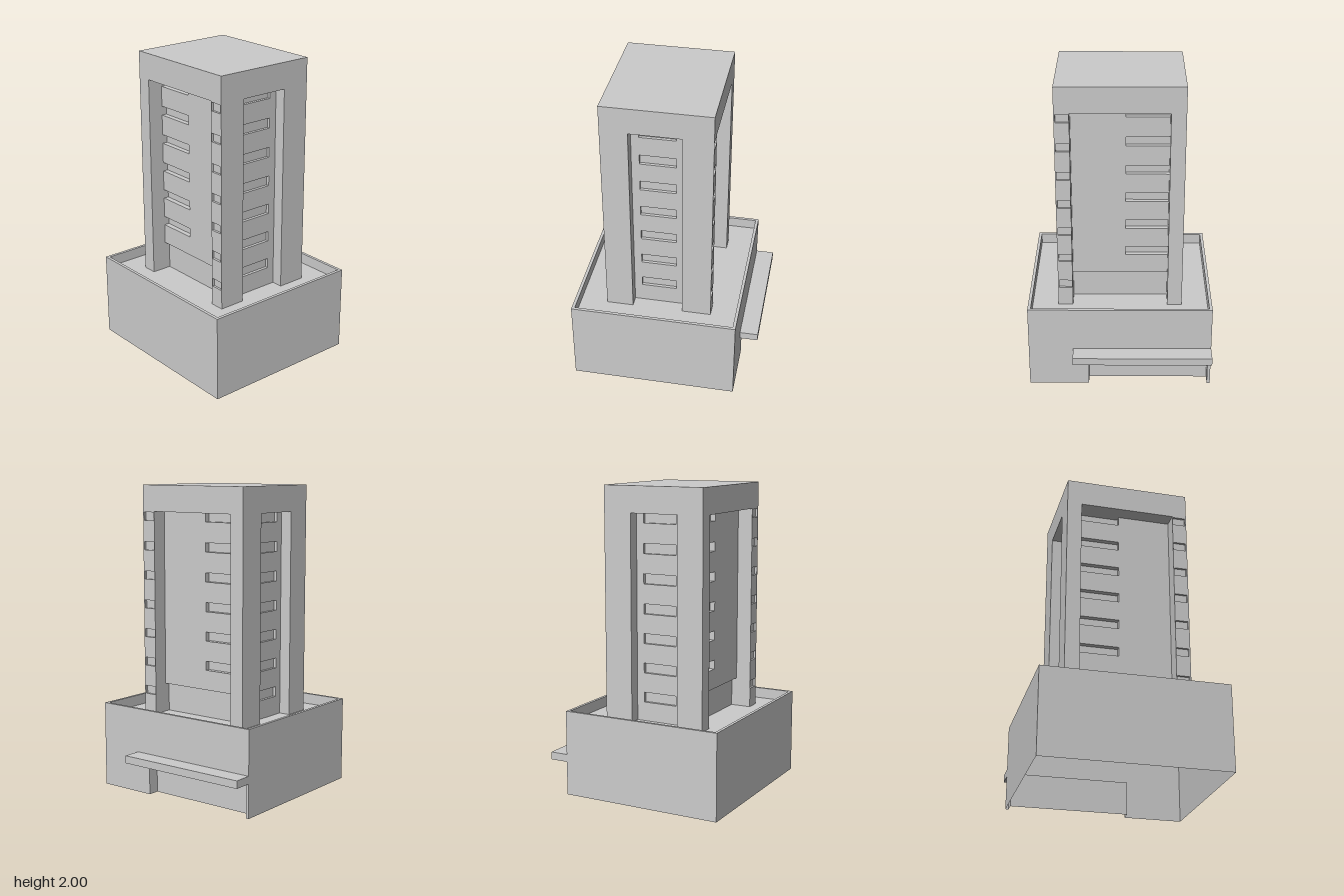
import * as THREE from 'three';

const TOP = 1.83, DECK = 0.49, STEP = 0.192;
const grey = new THREE.MeshStandardMaterial({ color: 0xcccccc, flatShading: true });
const thin = new THREE.MeshStandardMaterial({ color: 0xcccccc, flatShading: true, side: THREE.DoubleSide });

// top of each storey's window, from the highest down
const windowTops = Array.from({ length: 7 }, (_, i) => TOP - STEP * i);

function add(group, name, geometry, material = grey) {
  const mesh = new THREE.Mesh(geometry, material);
  mesh.name = name;
  group.add(mesh);
  return mesh;
}

// box given by its limits on each axis
function box(group, name, [x0, x1], [y0, y1], [z0, z1]) {
  const g = new THREE.BoxGeometry(x1 - x0, y1 - y0, z1 - z0);
  add(group, name, g.translate((x0 + x1) / 2, (y0 + y1) / 2, (z0 + z1) / 2));
}

function rect(x0, x1, y0, y1, Type = THREE.Shape) {
  return new Type([[x0, y0], [x1, y0], [x1, y1], [x0, y1]].map(p => new THREE.Vector2(...p)));
}

const extrude = (shape, depth) => new THREE.ExtrudeGeometry(shape, { depth, bevelEnabled: false });

// open-bottomed podium with parapet, entrance recess and canopy
function makePodium() {
  const podium = new THREE.Group();
  podium.name = 'podium';
  const X = 0.595, F = 0.6, B = -0.48, mid = (F + B) / 2, len = F - B;

  const plane = (name, w, h) => add(podium, name, new THREE.PlaneGeometry(w, h), thin);

  plane('frontWall', 2 * X, DECK).position.set(0, DECK / 2, F);
  for (const s of [-1, 1]) {
    const wall = plane('sideWall', len, DECK);
    wall.rotation.y = s * Math.PI / 2;
    wall.position.set(s * X, DECK / 2, mid);
  }

  // back wall with the entrance cut out
  const d0 = -0.575, d1 = 0.205, dh = 0.22, depth = 0.075;
  const back = new THREE.Shape([
    [-X, 0], [d0, 0], [d0, dh], [d1, dh], [d1, 0], [X, 0], [X, DECK], [-X, DECK],
  ].map(p => new THREE.Vector2(...p)));
  add(podium, 'backWall', new THREE.ShapeGeometry(back).rotateY(Math.PI).scale(-1, 1, 1), thin).position.z = B;

  // entrance recess
  const doorMid = (d0 + d1) / 2;
  const inner = plane('entranceWall', d1 - d0, dh);
  inner.rotation.y = Math.PI;
  inner.position.set(doorMid, dh / 2, B + depth);
  for (const [x, s] of [[d0, 1], [d1, -1]]) {
    const side = plane('entranceSide', depth, dh);
    side.rotation.y = s * Math.PI / 2;
    side.position.set(x, dh / 2, B + depth / 2);
  }
  const soffit = plane('entranceSoffit', d1 - d0, depth);
  soffit.rotation.x = Math.PI / 2;
  soffit.position.set(doorMid, dh, B + depth / 2);

  box(podium, 'canopy', [-X, 0.305], [0.22, 0.27], [-0.6, B]);

  // roof deck and parapet ring
  const t = 0.02;
  const deck = plane('roofDeck', 2 * (X - t), len - 2 * t);
  deck.rotation.x = -Math.PI / 2;
  deck.position.set(0, DECK, mid);
  const ring = rect(-X, X, -F, -B);
  ring.holes.push(rect(-X + t, X - t, -F + t, -B - t, THREE.Path));
  add(podium, 'parapet', extrude(ring, 0.07).rotateX(-Math.PI / 2)).position.y = DECK;
  return podium;
}

// panel whose left edge is stepped by the open window slots
function slottedPanel() {
  const s = new THREE.Shape();
  s.moveTo(-0.31, 0.68);
  s.lineTo(0.31, 0.68);
  s.lineTo(0.31, TOP);
  windowTops.slice(0, 6).forEach((top, i) => {
    if (i > 0) s.lineTo(-0.31, top);
    s.lineTo(-0.035, top);
    s.lineTo(-0.035, top - 0.06);
    s.lineTo(-0.31, top - 0.06);
  });
  return extrude(s, 0.035);
}

function makeTower() {
  const tower = new THREE.Group();
  tower.name = 'tower';
  const X = 0.405, IN = 0.31, F = 0.405, B = -0.29, notch = 0.015;

  box(tower, 'cap', [-X, X], [TOP, 2], [B, F]);
  box(tower, 'core', [-IN, IN], [DECK, TOP], [-0.155, 0.27]);

  // corner pillars; the left pair has small recessed windows on its outer faces
  box(tower, 'pillar', [-X, -IN], [DECK, TOP], [0.23, F]);
  box(tower, 'pillar', [-X, -IN], [DECK, TOP], [B, -0.1]);
  box(tower, 'windowPillar', [IN, X], [DECK, TOP], [0.23, F - notch]);
  box(tower, 'windowPillar', [IN, X], [DECK, TOP], [B + notch, -0.1]);
  const face = rect(IN, X, DECK, TOP);
  for (const top of windowTops) {
    face.holes.push(rect(0.314, 0.396, top - 0.06, top - 0.006, THREE.Path));
  }
  for (const z of [F - notch, B]) add(tower, 'pillarFace', extrude(face, notch)).position.z = z;

  // recessed front and back panels
  add(tower, 'frontPanel', slottedPanel()).position.z = 0.27;
  add(tower, 'backPanel', slottedPanel()).position.z = -0.19;

  // recessed side panels with closed window slots
  const side = rect(-0.1, 0.23, DECK, TOP + 0.01);
  for (const top of windowTops) {
    side.holes.push(rect(-0.05, 0.18, top - 0.065, top, THREE.Path));
  }
  for (const x of [0.33, -0.31]) {
    add(tower, 'sidePanel', extrude(side, 0.02).rotateY(-Math.PI / 2)).position.x = x;
  }
  return tower;
}

export function createModel() {
  const model = new THREE.Group();
  model.name = 'towerBuilding';
  model.add(makePodium(), makeTower());
  return model;
}
